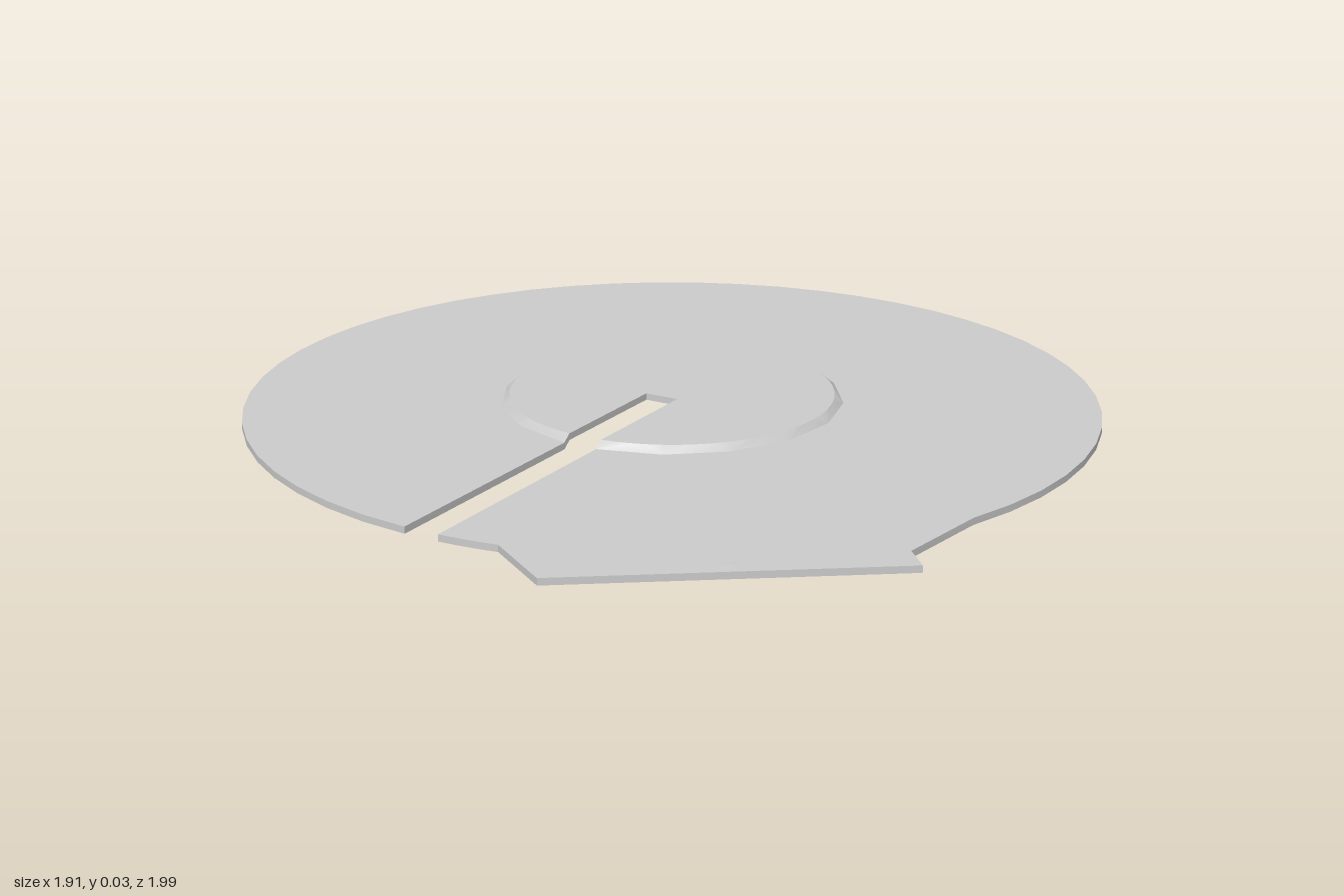
import * as THREE from 'three';
import { toCreasedNormals } from 'three/addons/utils/BufferGeometryUtils.js';

const THICK = 0.015, RISE = 0.015;   // sheet thickness, height of the raised centre
const SLOT = 0.04;                   // half width of the slot
const CZ = -0.045;                   // z of the disc's centre
const R_DISC = 0.955, R_FOOT = 0.385, R_TOP = 0.365;

// Points [x, z] on a circle; the angle runs from the front (+z) towards +x
function arc(r, from, to, n) {
  return Array.from({ length: n + 1 }, (_, i) => {
    const a = from + (to - from) * i / n;
    return [r * Math.sin(a), CZ + r * Math.cos(a)];
  });
}

// Circle left open where the slot crosses it
function openCircle(r, n = 64) {
  const gap = Math.asin(SLOT / r);
  return arc(r, gap, 2 * Math.PI - gap, n);
}

// Upright slab from an [x, z] outline
function slab(outline, y) {
  const shape = new THREE.Shape(outline.map(([x, z]) => new THREE.Vector2(x, -z)));
  const geo = new THREE.ExtrudeGeometry(shape, { depth: THICK, bevelEnabled: false });
  return geo.rotateX(-Math.PI / 2).translate(0, y, 0);
}

export function createModel() {
  const group = new THREE.Group();
  const material = new THREE.MeshStandardMaterial({ color: 0xcccccc });
  const add = (name, geo) => {
    const mesh = new THREE.Mesh(toCreasedNormals(geo, 0.4), material);
    mesh.name = name;
    group.add(mesh);
  };

  // Flat outer plate with the angular tab at the front left
  const gap = Math.asin(SLOT / R_DISC);
  const plate = [
    ...arc(R_DISC, gap, 0.179, 3),
    [0.325, 0.995], [0.91, 0.575], [0.86, 0.52],
    ...arc(R_DISC, 1.201, 2 * Math.PI - gap, 44),
    ...openCircle(R_FOOT).reverse(),
  ];
  add('plate', slab(plate, 0));

  // Sloped ring: a flat ring sheared upwards towards its inner edge
  const ring = slab([...openCircle(R_FOOT), ...openCircle(R_TOP).reverse()], 0);
  const p = ring.attributes.position;
  for (let i = 0; i < p.count; i++) {
    const r = Math.hypot(p.getX(i), p.getZ(i) - CZ);
    p.setY(i, p.getY(i) + RISE * (R_FOOT - r) / (R_FOOT - R_TOP));
  }
  ring.computeVertexNormals();
  add('slopedRing', ring);

  // Raised centre, hollow underneath, with the blind end of the slot
  add('raisedCentre', slab([...openCircle(R_TOP), [-SLOT, 0], [SLOT, 0]], RISE));

  // Tiny pip close to the straight edge of the tab
  const pip = new THREE.ConeGeometry(0.025, 0.002, 4).translate(0.6, THICK + 0.001, 0.76);
  add('tabPip', pip);

  return group;
}
